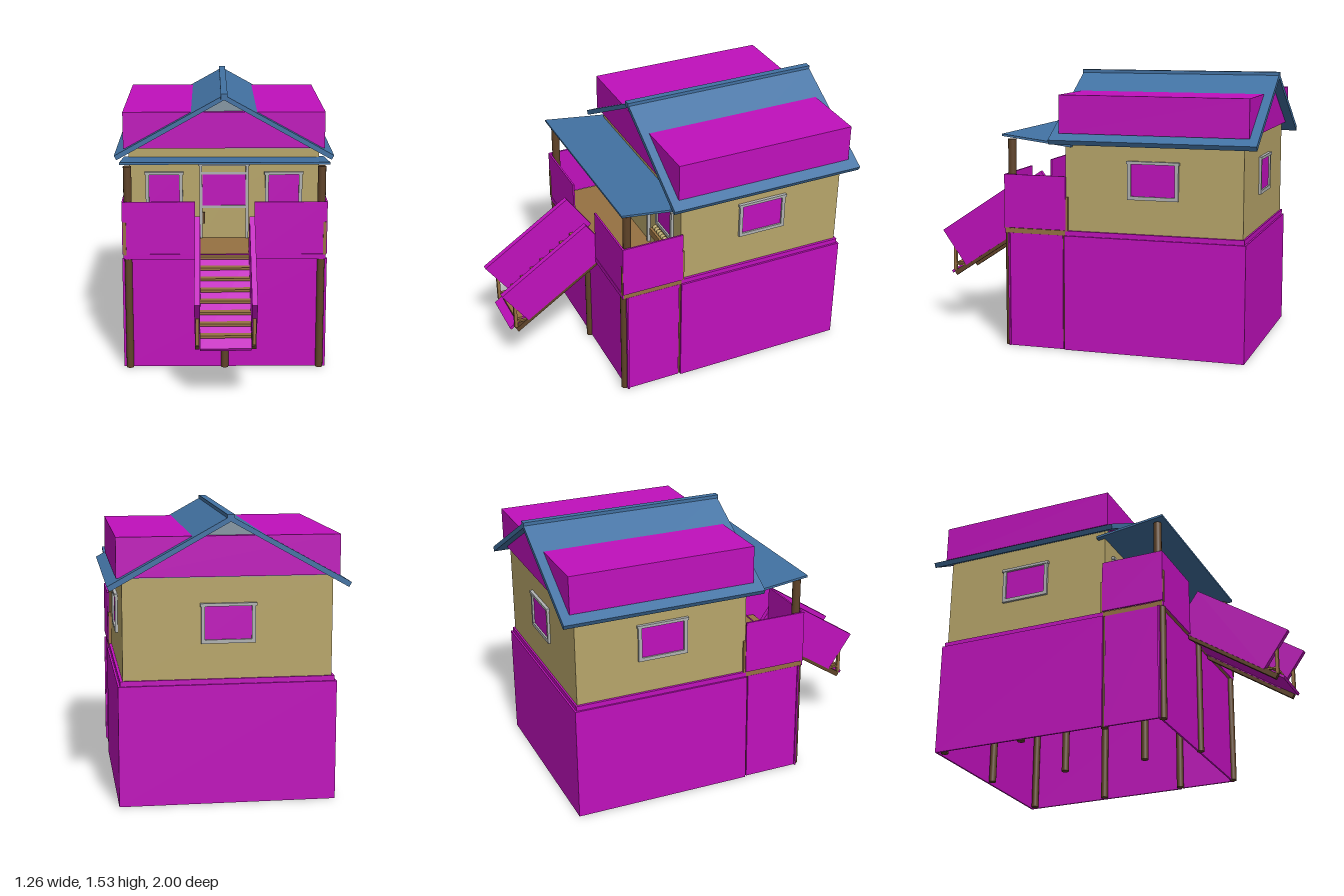
import * as THREE from 'three';

const mat = (color) => new THREE.MeshStandardMaterial({ color, side: THREE.DoubleSide });

export function createModel() {
  const root = new THREE.Group();
  const panel = mat(0xc010bc), tan = mat(0xb8a66a), blue = mat(0x4272a3);
  const wood = mat(0x5f4328), plank = mat(0x967142), trim = mat(0xb0b2b2);
  const gableGrey = mat(0x8596a3);

  const add = (parent, name, geo, m) => {
    const mesh = new THREE.Mesh(geo, m);
    mesh.name = name;
    parent.add(mesh);
    return mesh;
  };
  // Box given by its extents on each axis
  const box = (parent, name, m, x0, x1, y0, y1, z0, z1) => {
    const mesh = add(parent, name, new THREE.BoxGeometry(Math.abs(x1 - x0), y1 - y0, Math.abs(z1 - z0)), m);
    mesh.position.set((x0 + x1) / 2, (y0 + y1) / 2, (z0 + z1) / 2);
    return mesh;
  };
  const post = (name, x, z, y0, y1, r) => {
    const mesh = add(root, name, new THREE.CylinderGeometry(r, r, y1 - y0, 12), wood);
    mesh.position.set(x, (y0 + y1) / 2, z);
  };
  // Side outline in (z, y), extruded across x
  const sideSlab = (parent, name, m, points, x0, x1) => {
    const shape = new THREE.Shape(points.map(([z, y]) => new THREE.Vector2(-z, y)));
    const geo = new THREE.ExtrudeGeometry(shape, { depth: x1 - x0, bevelEnabled: false });
    geo.rotateY(Math.PI / 2).translate(x0, 0, 0);
    return add(parent, name, geo, m);
  };
  // Front outline in (x, y), extruded along z
  const frontSlab = (name, m, points, z0, z1) => {
    const shape = new THREE.Shape(points.map((p) => new THREE.Vector2(...p)));
    const geo = new THREE.ExtrudeGeometry(shape, { depth: z1 - z0, bevelEnabled: false });
    geo.translate(0, 0, z0);
    return add(root, name, geo, m);
  };

  // Stilts
  for (const x of [-0.54, 0, 0.54]) {
    for (const z of [0.415, 0.08, -0.42, -0.9]) post('stilt', x, z, 0, 0.645, 0.021);
  }

  // Skirt around the stilts, open underneath
  for (const s of [-1, 1]) {
    box(root, 'houseSkirtSide', panel, s * 0.565, s * 0.576, 0, 0.645, -0.94, 0.077);
    box(root, 'porchSkirtSide', panel, s * 0.555, s * 0.566, 0, 0.645, 0.088, 0.4);
  }
  box(root, 'skirtBack', panel, -0.575, 0.575, 0, 0.645, -0.94, -0.93);
  box(root, 'skirtFront', panel, -0.575, 0.575, 0, 0.645, 0.4, 0.41);

  // Floors
  box(root, 'houseFloor', panel, -0.565, 0.565, 0.645, 0.672, -0.93, 0.075);
  box(root, 'porchFloor', plank, -0.565, 0.565, 0.645, 0.672, 0.075, 0.425);
  box(root, 'porchFloorEdge', panel, -0.565, 0.565, 0.645, 0.675, 0.425, 0.432);

  // House body
  box(root, 'walls', tan, -0.55, 0.55, 0.672, 1.205, -0.92, 0.075);

  // Porch railing and posts
  for (const s of [-1, 1]) {
    box(root, 'frontRailing', panel, s * 0.165, s * 0.572, 0.675, 0.975, 0.42, 0.43);
    box(root, 'sideRailing', panel, s * 0.562, s * 0.572, 0.675, 0.975, 0.07, 0.43);
    for (const z of [0.425, 0.068]) box(root, 'railingPost', plank, s * 0.55, s * 0.567, 0.67, 0.86, z - 0.009, z + 0.009);
    post('porchPost', s * 0.54, 0.392, 0.672, 1.17, 0.023);
  }

  // Framed window facing +z in its own group
  const makeWindow = (w, h) => {
    const g = new THREE.Group();
    g.name = 'window';
    const x = w / 2, y = h / 2, t = 0.02;
    box(g, 'pane', panel, -x, x, -y, y, 0, 0.004);
    for (const s of [-1, 1]) box(g, 'frameSide', trim, s * x, s * (x + t), -y - t, y, 0, 0.014);
    box(g, 'frameTop', trim, -x - t - 0.006, x + t + 0.006, y, y + 0.016, 0, 0.018);
    box(g, 'frameBottom', trim, -x, x, -y - t, -y, 0, 0.014);
    root.add(g);
    return g;
  };
  for (const s of [-1, 1]) {
    makeWindow(0.175, 0.17).position.set(s * 0.347, 0.968, 0.075);
    const side = makeWindow(0.245, 0.175);
    side.position.set(s * 0.55, 0.968, -0.424);
    side.rotation.y = s * Math.PI / 2;

    // Flower box under each front window
    box(root, 'flowerBox', plank, s * 0.265, s * 0.43, 0.81, 0.855, 0.08, 0.135);
    for (let i = 0; i < 6; i++) {
      const flower = add(root, 'flower', new THREE.IcosahedronGeometry(0.016, 1), tan);
      flower.position.set(s * (0.282 + i * 0.026), 0.862, 0.108);
    }
  }
  const back = makeWindow(0.245, 0.175);
  back.position.set(0, 0.968, -0.92);
  back.rotation.y = Math.PI;

  // Door
  const door = new THREE.Group();
  door.name = 'door';
  root.add(door);
  box(door, 'doorLeaf', tan, -0.128, 0.128, 0.675, 1.105, 0.075, 0.08);
  box(door, 'doorPane', panel, -0.124, 0.124, 0.87, 1.055, 0.08, 0.084);
  box(door, 'lowerBar', trim, -0.128, 0.128, 0.855, 0.87, 0.08, 0.088);
  box(door, 'upperBar', trim, -0.128, 0.128, 1.055, 1.068, 0.08, 0.088);
  for (const s of [-1, 1]) box(door, 'doorJamb', trim, s * 0.126, s * 0.142, 0.675, 1.105, 0.075, 0.092);
  box(door, 'doorHead', trim, -0.15, 0.15, 1.105, 1.122, 0.075, 0.095);
  box(door, 'doorHandle', wood, -0.125, -0.111, 0.765, 0.83, 0.08, 0.098);

  // Main roof, ridge cap, gable and loft block
  for (const s of [-1, 1]) {
    frontSlab('roofSlope', blue, [[0, 1.527], [s * 0.63, 1.178], [s * 0.616, 1.153], [0, 1.498]], -1, 0.15);
  }
  box(root, 'ridgeCap', blue, -0.019, 0.019, 1.503, 1.535, -1, 0.155);
  frontSlab('gable', gableGrey, [[-0.53, 1.204], [0.53, 1.204], [0, 1.5]], -0.92, 0.075);
  box(root, 'loftBlock', panel, -0.58, 0.58, 1.212, 1.422, -0.95, 0.103);

  // Porch roof, rising toward the front
  sideSlab(root, 'porchRoof', blue, [[0.437, 1.188], [0.437, 1.2], [0.035, 1.15], [0.035, 1.137]], -0.58, 0.58);

  // Stairs
  const stairs = new THREE.Group();
  stairs.name = 'stairs';
  root.add(stairs);
  sideSlab(stairs, 'stairSlope', panel, [[0.96, 0.31], [0.953, 0.296], [0.42, 0.645], [0.42, 0.672]], -0.136, 0.136);
  for (let i = 0; i < 8; i++) {
    const z = 0.455 + i * 0.0635, y = 0.664 - i * 0.0432;
    box(stairs, 'tread', plank, -0.136, 0.136, y - 0.007, y + 0.007, z - 0.022, z + 0.022);
  }
  for (const s of [-1, 1]) {
    const a = s > 0 ? 0.136 : -0.166, b = a + 0.03;
    sideSlab(stairs, 'stairSidePanel', panel, [[1, 0.563], [0.482, 0.905], [0.335, 0.697], [0.853, 0.355]], a, b);
    sideSlab(stairs, 'stringer', wood, [[0.93, 0.315], [0.915, 0.29], [0.42, 0.618], [0.42, 0.655]], a + 0.003, b - 0.003);
    box(stairs, 'stairPost', plank, a + 0.006, b - 0.006, 0.32, 0.468, 0.917, 0.935);
    box(stairs, 'stairPostBrace', plank, a + 0.008, b - 0.008, 0.352, 0.362, 0.86, 0.925);
  }
  return root;
}
